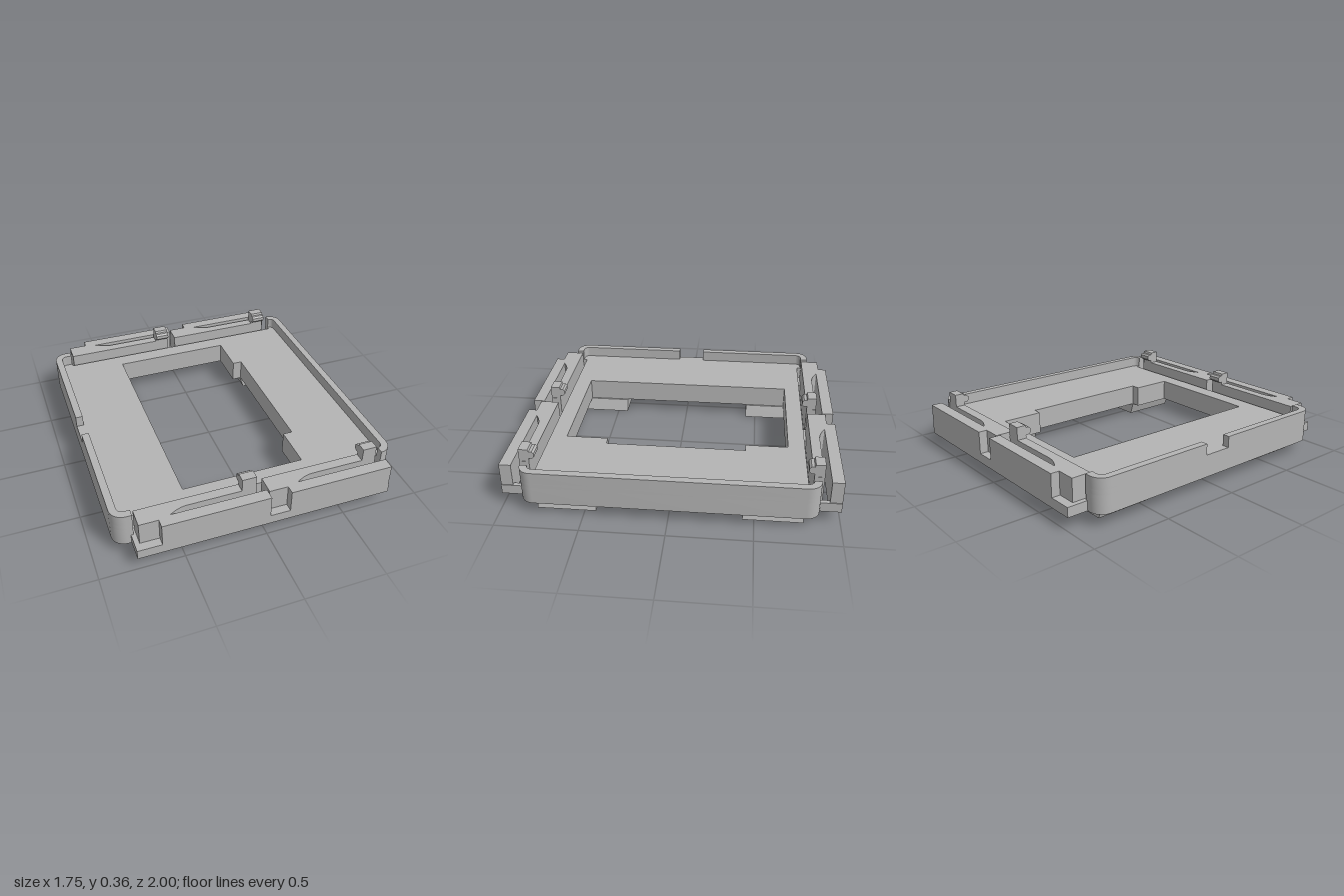
import * as THREE from 'three';
import { toCreasedNormals } from 'three/addons/utils/BufferGeometryUtils.js';

const grey = new THREE.MeshStandardMaterial({ color: 0xb4b4b4 });
grey.name = 'plain grey';

const poly = (pts) => new THREE.Shape(pts.map(([x, y]) => new THREE.Vector2(x, y)));
const rect = (x0, x1, z0, z1) => poly([[x0, z0], [x1, z0], [x1, z1], [x0, z1]]);

function extrude(shape, depth) {
  return new THREE.ExtrudeGeometry(shape, { depth, bevelEnabled: false, curveSegments: 10 });
}

// Plan shape (x, z) standing between heights y0 and y1
function slab(shape, y0, y1) {
  const g = extrude(shape, y1 - y0);
  g.rotateX(Math.PI / 2);
  g.translate(0, y1, 0);
  return toCreasedNormals(g, 0.5);
}

function add(parent, name, geometry) {
  const m = new THREE.Mesh(geometry, grey);
  m.name = name;
  parent.add(m);
  return m;
}

// Points of a rounded corner with signs sx, sz, running from the x side to the z side
function corner(sx, sz, x, z, r) {
  const pts = [];
  for (let i = 0; i <= 10; i++) {
    const a = (i / 10) * Math.PI / 2;
    pts.push([sx * (x - r + r * Math.cos(a)), sz * (z - r + r * Math.sin(a))]);
  }
  return pts;
}

const W = 0.875, D = 0.872, R = 0.08, T = 0.045;
const BOTTOM = 0.08, FLOOR = 0.22, RIM = 0.29, LEDGE = 0.14, BAR = 0.28;

// Floor outline: rounded tray with its ends cut back for the clip bars
function floorShape() {
  const q = (sx, sz, cut) => [...corner(sx, sz, W, D, R), [cut, sz * D], [cut, sz * 0.804]];
  const s = poly([
    ...q(1, 1, 0.795), ...q(-1, 1, -0.76).reverse(),
    ...q(-1, -1, -0.76), ...q(1, -1, 0.795).reverse(),
  ]);
  // Central opening with two narrow shoulders
  s.holes.push(poly([
    [-0.415, -0.7], [0.35, -0.7], [0.35, -0.435], [0.41, -0.435],
    [0.41, 0.435], [0.35, 0.435], [0.35, 0.7], [-0.415, 0.7],
  ]));
  return s;
}

// Arm root curve at the end of the long slot
function slotCurve(dx) {
  return new THREE.QuadraticBezierCurve(
    new THREE.Vector2(-0.56 + dx, 0.928), new THREE.Vector2(-0.5 + dx, 0.892), new THREE.Vector2(-0.455 + dx, 0.89),
  ).getPoints(8).map((p) => [p.x, p.y]);
}

export function createModel() {
  const model = new THREE.Group();
  model.name = 'clipFrame';

  // Floor in two layers, the lower one pierced by the foot pockets
  const feet = [];
  for (const cx of [-0.595, 0.595]) for (const sz of [-1, 1]) feet.push([cx, sz * 0.61]);
  const px = 0.12, pz = 0.105, top = 0.19;
  const lower = floorShape();
  for (const [x, z] of feet) lower.holes.push(rect(x - px, x + px, z - pz, z + pz));
  add(model, 'floorLower', slab(lower, BOTTOM, top));
  add(model, 'floorUpper', slab(floorShape(), top, FLOOR));

  // Raised rim, open in the middle of one side
  for (const [sx, zStart, xEnd] of [[1, 0, 0.795], [-1, 0.09, 0.76]]) {
    for (const sz of [-1, 1]) {
      add(model, 'rim', slab(poly([
        [sx * W, sz * zStart], ...corner(sx, sz, W, D, R), [sx * xEnd, sz * D], [sx * xEnd, sz * (D - T)],
        ...corner(sx, sz, W - T, D - T, R - T).reverse(), [sx * (W - T), sz * zStart],
      ]), FLOOR, RIM));
    }
  }

  // Slanted hollow feet with a sloping pocket inside
  for (const [x, z] of feet) {
    const foot = new THREE.Group();
    foot.name = 'foot';
    model.add(foot);
    const ring = rect(x - 0.19, x + 0.19, z - 0.177, z + 0.177);
    ring.holes.push(rect(x - px, x + px, z - pz, z + pz));
    const g = slab(ring, 0, BOTTOM);
    const p = g.attributes.position;
    for (let i = 0; i < p.count; i++) p.setX(i, p.getX(i) + 0.027 * (1 - p.getY(i) / BOTTOM));
    add(foot, 'footFrame', toCreasedNormals(g, 0.5));
    const wedge = extrude(poly([[x - px, BOTTOM], [x + px, top], [x - px, top]]), pz * 2);
    wedge.translate(0, 0, z - pz);
    add(foot, 'pocketSlope', wedge);
  }

  // Clip bars on both ends, each with two spring arms
  for (const s of [-1, 1]) {
    const bar = new THREE.Group();
    bar.name = 'clipBar';
    model.add(bar);
    const plan = (pts) => poly(pts.map(([x, z]) => [x, z * s]));
    for (const dx of [0, 0.772]) {
      const at = (pts) => pts.map(([x, z]) => [x + dx, z]);
      const arm = [...slotCurve(dx), ...at([[-0.03, 0.89], [-0.03, 0.83]])];

      // Lower layer ties the bar to the floor
      add(bar, 'barLower', slab(plan([
        ...at([[-0.775, 0.8], [-0.775, 1], [0.023, 1], [0.023, 0.8], [-0.005, 0.8], [-0.005, 0.928]]),
        ...arm, ...at([[-0.63, 0.83], [-0.63, 0.8]]),
      ]), BOTTOM, LEDGE));

      // Upper layer leaves a ledge at the outer corner
      add(bar, 'barUpper', slab(plan([
        ...at([[-0.746, 0.83], [-0.746, 0.947], [-0.63, 0.947], [-0.63, 1], [0.018, 1], [0.018, 0.928]]),
        ...arm,
      ]), LEDGE, BAR));

      // Hooked clip at the arm tip
      const hook = extrude(poly([
        [0.89, BAR], [0.89, 0.36], [0.833, 0.36], [0.828, 0.346], [0.81, 0.346], [0.798, 0.335],
        [0.798, 0.312], [0.81, 0.3], [0.83, 0.3], [0.83, BAR],
      ].map(([z, y]) => [z * s, y])), 0.088);
      hook.rotateY(-Math.PI / 2);
      hook.translate(-0.032 + dx, 0, 0);
      add(bar, 'clipHook', hook);
    }
  }
  return model;
}
